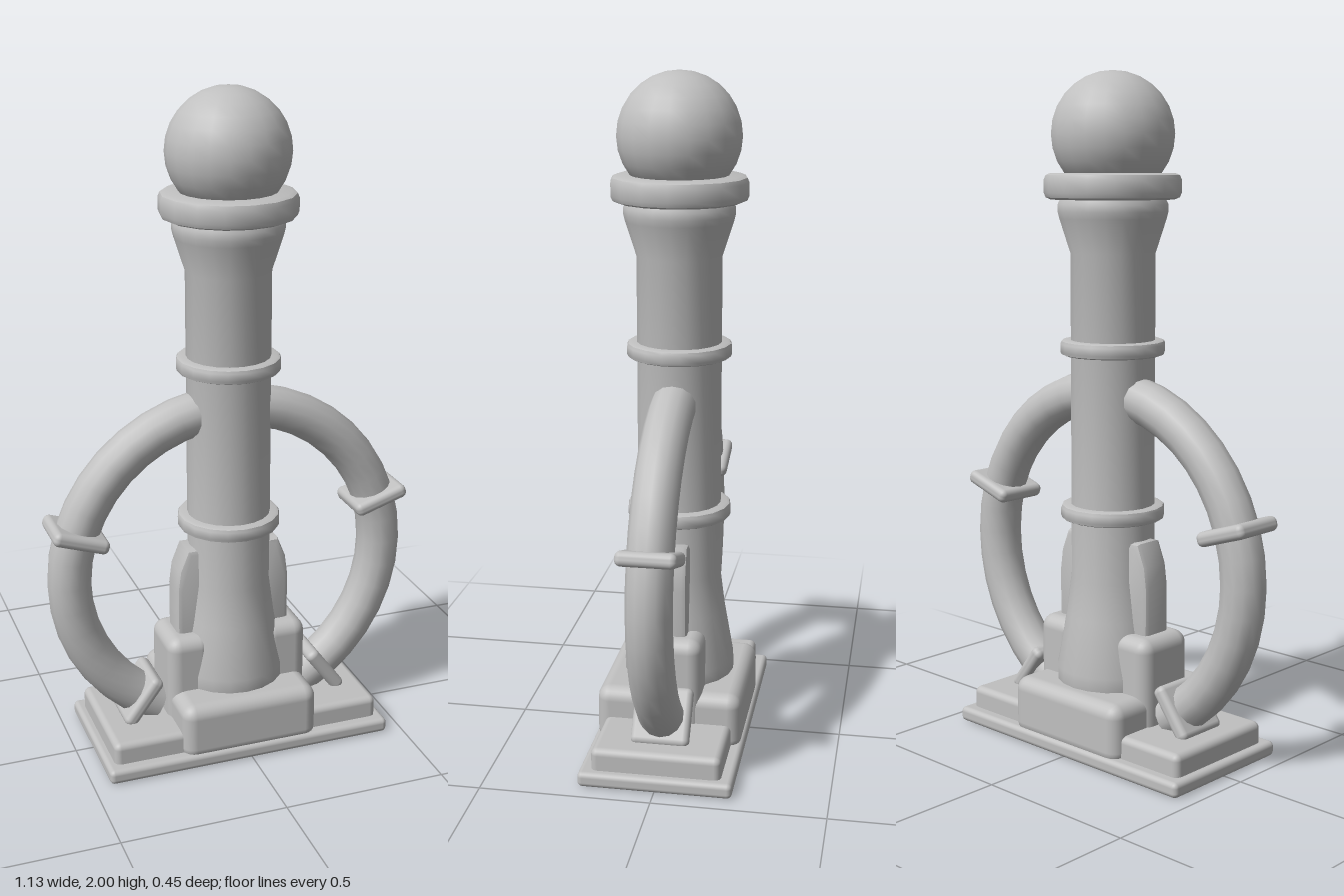
import * as THREE from 'three';
import { toCreasedNormals } from 'three/addons/utils/BufferGeometryUtils.js';
import { RoundedBoxGeometry } from 'three/addons/geometries/RoundedBoxGeometry.js';

export function createModel() {
  const model = new THREE.Group();
  model.name = 'pillarWithSideHoops';
  const stone = new THREE.MeshStandardMaterial({ color: 0xc0c0c0 });
  stone.name = 'light grey';

  const add = (name, geometry, x = 0, y = 0, z = 0, rotZ = 0) => {
    const mesh = new THREE.Mesh(geometry, stone);
    mesh.name = name;
    mesh.position.set(x, y, z);
    mesh.rotation.z = rotZ;
    model.add(mesh);
    return mesh;
  };
  const block = (name, w, h, d, radius, x, y, rotZ = 0) =>
    add(name, new RoundedBoxGeometry(w, h, d, 3, radius), x, y, 0, rotZ);
  const lathe = (name, points, sides, y = 0) => {
    const profile = points.map(([r, h]) => new THREE.Vector2(r, h));
    return add(name, toCreasedNormals(new THREE.LatheGeometry(profile, sides), 0.7), 0, y);
  };
  // Band with softened edges that wraps the column
  const band = (name, outer, height, y, sides) => {
    const h = height / 2, b = h * 0.5;
    return lathe(name, [[0.1, -h], [outer - b, -h], [outer - b * 0.3, -h + b * 0.3], [outer, -h + b],
      [outer, h - b], [outer - b * 0.3, h - b * 0.3], [outer - b, h], [0.1, h]], sides, y);
  };

  // Stepped base
  block('basePlate', 0.9, 0.045, 0.45, 0.015, 0, 0.0225);
  block('baseStep', 0.85, 0.09, 0.38, 0.02, 0, 0.065);
  block('pedestal', 0.43, 0.18, 0.435, 0.04, 0, 0.11);

  // Column with spread foot and flared capital
  lathe('column', [[0, 0.15], [0.155, 0.15], [0.168, 0.2], [0.168, 0.24], [0.14, 0.4], [0.125, 0.52],
    [0.125, 1.48], [0.157, 1.58], [0.162, 1.6], [0.162, 1.62], [0.155, 1.635], [0, 1.635]], 20);
  band('lowerBand', 0.155, 0.045, 0.715, 18);
  band('upperBand', 0.155, 0.045, 1.205, 18);
  band('collar', 0.2, 0.075, 1.672, 16);
  add('ball', new THREE.SphereGeometry(0.18, 20, 14), 0, 1.82);

  // Outline of the slim buttress fin, with a sloped shoulder
  const fin = new THREE.Shape([[0.05, 0.2], [0.165, 0.2], [0.165, 0.51], [0.157, 0.57], [0.135, 0.625], [0.05, 0.625]]
    .map(([x, y]) => new THREE.Vector2(x, y)));
  const finGeometry = toCreasedNormals(new THREE.ExtrudeGeometry(fin,
    { depth: 0.07, bevelThickness: 0.015, bevelSize: 0.015, bevelSegments: 2 }), 0.6);

  // Circular hoop pieces run from inside the column down to the base
  const hoopY = 0.57, hoopR = 0.5;
  const start = -1.07, end = 1.4;
  const hoopGeometry = new THREE.TorusGeometry(hoopR, 0.066, 14, 16, end - start);
  hoopGeometry.rotateZ(start);

  for (const side of [1, -1]) {
    const label = side > 0 ? 'left' : 'right';
    block(label + 'Buttress', 0.14, 0.32, 0.2, 0.04, side * 0.153, 0.21);
    const turn = side > 0 ? 0 : Math.PI;
    add(label + 'Fin', finGeometry, 0, 0, side * -0.035).rotation.y = turn;
    add(label + 'Hoop', hoopGeometry, 0, hoopY).rotation.y = turn;
    // Square clamps sit square to the hoop
    [['UpperClamp', 0.32], ['LowerClamp', -0.93]].forEach(([name, a]) =>
      block(label + name, 0.172, 0.043, 0.172, 0.018,
        side * hoopR * Math.cos(a), hoopY + hoopR * Math.sin(a), side * a));
  }
  return model;
}
